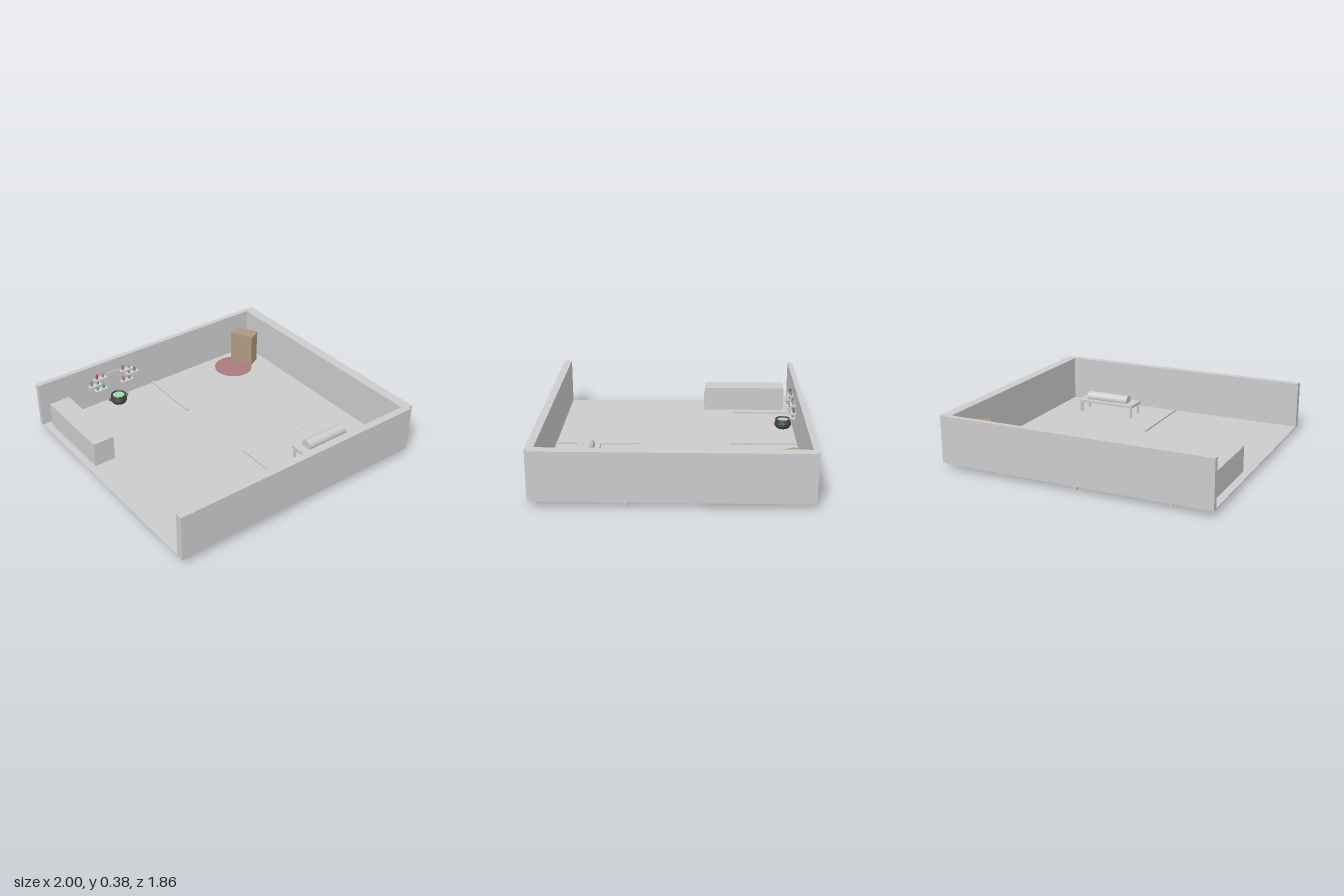
import * as THREE from 'three';

const material = (color = 0xcccccc, extra = {}) => new THREE.MeshStandardMaterial({ color, ...extra });
const grey = material();

function add(parent, name, geometry, x, y, z, mat = grey) {
  const mesh = new THREE.Mesh(geometry, mat);
  mesh.name = name;
  mesh.position.set(x, y, z);
  parent.add(mesh);
  return mesh;
}

// Box given by its lower and upper limits on each axis
function block(parent, name, [x0, x1], [y0, y1], [z0, z1], mat = grey) {
  return add(parent, name, new THREE.BoxGeometry(x1 - x0, y1 - y0, z1 - z0),
    (x0 + x1) / 2, (y0 + y1) / 2, (z0 + z1) / 2, mat);
}

const FLOOR = 0.046;

function buildRoom() {
  const room = new THREE.Group();
  room.name = 'room';
  block(room, 'floor', [-1, 0.99], [0.04, FLOOR], [-0.925, 0.92]);
  block(room, 'backWall', [-1, 0.965], [0.04, 0.385], [-0.933, -0.895]);
  block(room, 'frontWall', [-1, 0.965], [0.04, 0.385], [0.875, 0.93]);
  block(room, 'leftWall', [0.925, 1], [0.04, 0.384], [-0.922, 0.908]);
  // Low dividers and the sills sunk into the floor
  block(room, 'backDividerOuter', [-0.715, -0.692], [0.012, 0.058], [-0.9, -0.455]);
  block(room, 'backDividerInner', [-0.033, -0.01], [0.004, 0.058], [-0.9, -0.4]);
  block(room, 'frontDivider', [-0.008, 0.01], [0.042, 0.058], [0.268, 0.88]);
  block(room, 'longSill', [-0.022, 0.985], [0, FLOOR + 0.001], [0.283, 0.308]);
  block(room, 'shortSill', [0.48, 0.91], [0, FLOOR + 0.001], [-0.425, -0.4]);
  return room;
}

function buildTable() {
  const table = new THREE.Group();
  table.name = 'table';
  block(table, 'tableTop', [0.23, 0.7], [0.128, 0.148], [0.52, 0.685]);
  for (const x of [0.246, 0.682])
    for (const z of [0.537, 0.669])
      add(table, 'tableLeg', new THREE.CylinderGeometry(0.011, 0.011, 0.098, 16), x, 0.084, z);
  const roll = add(table, 'roll', new THREE.CylinderGeometry(0.042, 0.042, 0.345, 32), 0.467, 0.163, 0.597);
  roll.rotation.z = Math.PI / 2;
  return table;
}

function buildCauldron() {
  const cauldron = new THREE.Group();
  cauldron.name = 'cauldron';
  const iron = material(0x444444, { side: THREE.DoubleSide });
  const profile = [[0, 0], [0.03, 0], [0.052, 0.014], [0.064, 0.034], [0.062, 0.052],
    [0.052, 0.066], [0.054, 0.076], [0.046, 0.076], [0.046, 0.06]];
  add(cauldron, 'pot', new THREE.LatheGeometry(profile.map(p => new THREE.Vector2(...p)), 32), 0, 0, 0, iron);
  const rim = add(cauldron, 'rim', new THREE.TorusGeometry(0.052, 0.007, 10, 32), 0, 0.075, 0, iron);
  rim.rotation.x = Math.PI / 2;
  const brew = add(cauldron, 'brew', new THREE.CircleGeometry(0.047, 32), 0, 0.072, 0, material(0xa5d6a7));
  brew.rotation.x = -Math.PI / 2;
  for (const side of [-1, 1]) {
    const handle = add(cauldron, 'handle', new THREE.TorusGeometry(0.016, 0.004, 8, 20), side * 0.064, 0.052, 0, iron);
    handle.rotation.x = Math.PI / 2;
  }
  cauldron.position.set(-0.383, 0.038, -0.818);
  return cauldron;
}

function buildShelves() {
  const shelves = new THREE.Group();
  shelves.name = 'shelves';
  // Each row: distance from the middle, height, bottle colours
  const rows = [
    [0.115, 0.272, [0xb05060, 0x88aa88, 0x8a8a60, 0xaaaaaa]],
    [0.165, 0.228, [0xc08090, 0x7a9a90, 0x70a070, 0x8a7a50]],
    [0.115, 0.175, [0x70a0a0, 0x6090c0, 0xc07080, 0x9090a0]],
  ];
  const middle = -0.385;
  for (const [offset, y, colors] of rows)
    [-1, 1].forEach((side, i) => {
      const x = middle + side * offset;
      block(shelves, 'shelf', [x - 0.053, x + 0.053], [y - 0.006, y + 0.006], [-0.897, -0.852]);
      [-0.026, 0.026].forEach((dx, j) => {
        const glass = material(colors[i * 2 + j]);
        const height = j === 0 ? 0.032 : 0.024;
        add(shelves, 'bottle', new THREE.CylinderGeometry(0.009, 0.01, height, 12),
          x + dx, y + 0.006 + height / 2, -0.878, glass);
        add(shelves, 'bottleNeck', new THREE.CylinderGeometry(0.004, 0.005, 0.01, 10),
          x + dx, y + 0.01 + height, -0.878, glass);
      });
    });
  block(shelves, 'wallPanel', [-0.435, -0.335], [0.175, 0.285], [-0.897, -0.887]);
  return shelves;
}

function buildCabinet() {
  const cabinet = new THREE.Group();
  cabinet.name = 'cabinet';
  const wood = material(0xb09880);
  block(cabinet, 'cabinetBody', [-0.05, 0.05], [FLOOR, 0.295], [-0.094, 0.094], wood);
  block(cabinet, 'cabinetTop', [-0.053, 0.053], [0.295, 0.306], [-0.098, 0.098], wood);
  cabinet.position.set(0.777, 0, -0.741);
  cabinet.rotation.y = 0.47;
  return cabinet;
}

export function createModel() {
  const model = new THREE.Group();
  model.name = 'roomModel';
  model.add(buildRoom(), buildTable(), buildCauldron(), buildShelves(), buildCabinet());
  block(model, 'bench', [-0.945, -0.785], [FLOOR - 0.002, 0.23], [-0.852, -0.22]);
  add(model, 'rug', new THREE.CylinderGeometry(0.15, 0.15, 0.004, 48), 0.642, FLOOR + 0.001, -0.703, material(0xaa7b7b));
  return model;
}
